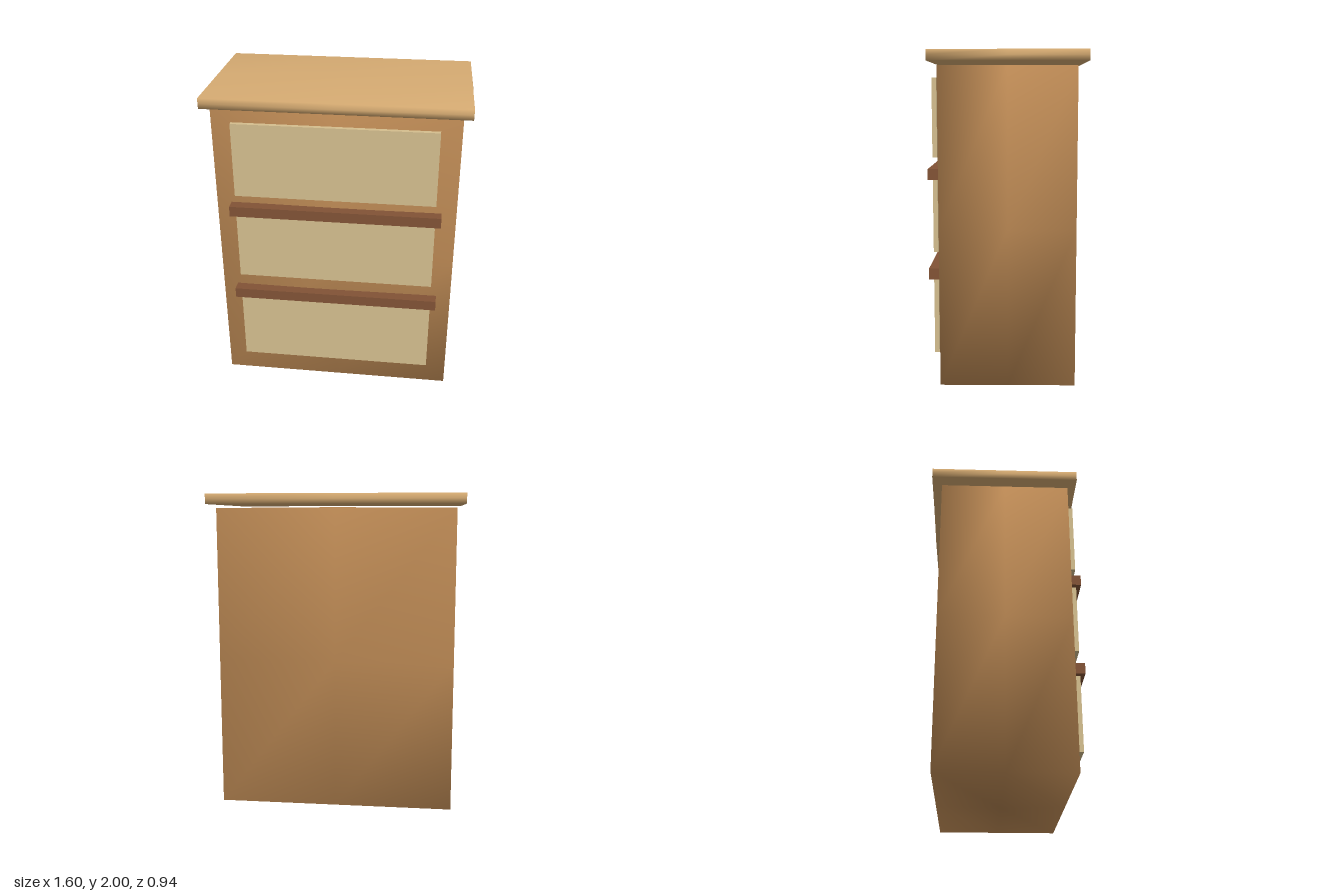
import * as THREE from 'three';
import { mergeVertices } from 'three/addons/utils/BufferGeometryUtils.js';

const material = (color) => new THREE.MeshStandardMaterial({ color });

// Box with softly shaded, welded sides whose face centres swell outwards
function pillowBox(w, h, d, bulge) {
  const geo = new THREE.BoxGeometry(w, h, d, 2, 2, 2);
  geo.deleteAttribute('uv');
  geo.deleteAttribute('normal');
  const welded = mergeVertices(geo);
  const pos = welded.attributes.position;
  const v = new THREE.Vector3();
  for (let i = 0; i < pos.count; i++) {
    v.fromBufferAttribute(pos, i);
    const offCentre = v.toArray().filter((c) => Math.abs(c) > 1e-4).length;
    if (offCentre === 1) v.setLength(v.length() + bulge);
    pos.setXYZ(i, v.x, v.y, v.z);
  }
  welded.computeVertexNormals();
  return welded;
}

export function createModel() {
  const group = new THREE.Group();
  const add = (name, geo, mat, x, y, z) => {
    const mesh = new THREE.Mesh(geo, mat);
    mesh.name = name;
    mesh.position.set(x, y, z);
    group.add(mesh);
  };

  // Cabinet carcass and overhanging top
  add('body', pillowBox(1.48, 1.896, 0.806, 0.01), material(0xb88652), 0, 0.958, -0.003);
  add('top', pillowBox(1.584, 0.064, 0.922, 0.007), material(0xd6ab72), 0, 1.961, -0.006);

  // Three drawer fronts
  const panelGeo = new THREE.BoxGeometry(1.23, 0.47, 0.028);
  const panelMat = material(0xd4be8e);
  [0.405, 1.035, 1.605].forEach((y, i) => add(`drawerFront${i + 1}`, panelGeo, panelMat, 0, y, 0.43));

  // Rails across the gaps between drawers
  const railGeo = new THREE.BoxGeometry(1.3, 0.066, 0.07);
  const railMat = material(0x825336);
  [0.672, 1.272].forEach((y, i) => add(`rail${i + 1}`, railGeo, railMat, 0, y, 0.435));

  return group;
}
